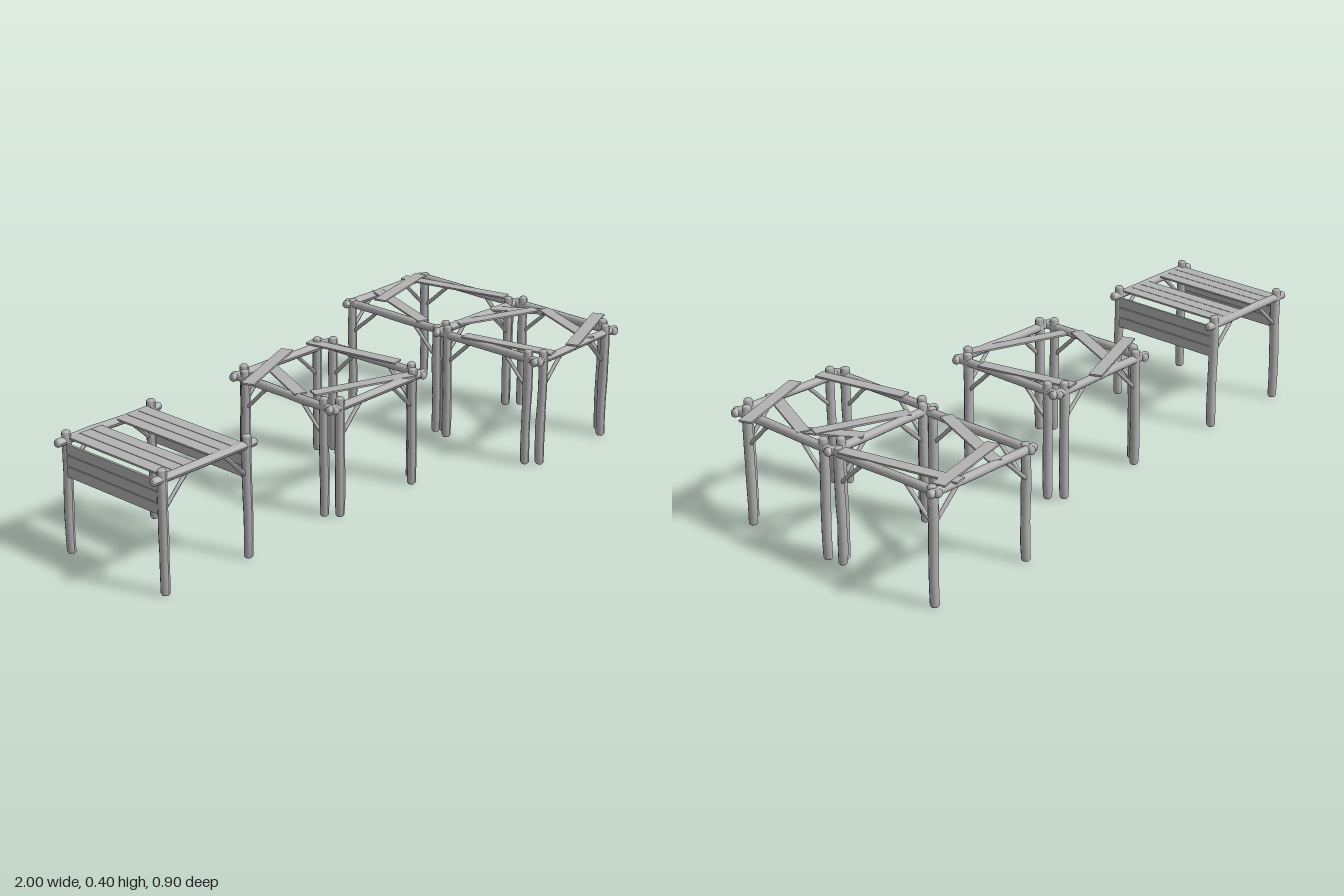
import * as THREE from 'three';

const wood = new THREE.MeshStandardMaterial({ color: 0xb2b2b2 });
wood.name = 'weathered wood';

export function createModel() {
  const model = new THREE.Group();
  model.name = 'timberFrames';

  // small seeded generator for hand-hewn irregularity
  let seed = 7;
  const rand = () => (seed = (seed * 16807) % 2147483647) / 2147483647;
  const up = new THREE.Vector3(0, 1, 0);

  // round log with softened ends and a slight bow between two points
  function log(parent, name, a, b, r) {
    const from = new THREE.Vector3(...a), to = new THREE.Vector3(...b);
    const dir = to.clone().sub(from), len = dir.length();
    const profile = [[0, 0], [r * 0.7, 0], [r * 0.95, r * 0.35]];
    for (let i = 1; i < 6; i++) profile.push([r * (0.94 + rand() * 0.12), (len * i) / 6]);
    profile.push([r * 0.95, len - r * 0.35], [r * 0.7, len], [0, len]);
    const geo = new THREE.LatheGeometry(profile.map(p => new THREE.Vector2(...p)), 10);
    const bow = r * 0.12, phase = rand() * 6.28;
    const pos = geo.attributes.position;
    for (let i = 0; i < pos.count; i++) {
      const s = Math.sin((pos.getY(i) / len) * Math.PI * 2) * bow;
      pos.setX(i, pos.getX(i) + s * Math.cos(phase));
      pos.setZ(i, pos.getZ(i) + s * Math.sin(phase));
    }
    geo.computeVertexNormals();
    const mesh = new THREE.Mesh(geo, wood);
    mesh.name = name;
    mesh.position.copy(from);
    mesh.quaternion.setFromUnitVectors(up, dir.normalize());
    parent.add(mesh);
  }

  // loose flat board between two plan points [x, z]
  function board(parent, name, [x1, z1], [x2, z2], y, tilt = 0, width = 0.042) {
    const len = Math.hypot(x2 - x1, z2 - z1);
    const mesh = new THREE.Mesh(new THREE.BoxGeometry(len, 0.006, width), wood);
    mesh.name = name;
    mesh.position.set((x1 + x2) / 2, y, (z1 + z2) / 2);
    mesh.rotation.set(0, -Math.atan2(z2 - z1, x2 - x1), tilt);
    parent.add(mesh);
  }

  const LEG = 0.0155, BEAM = 0.0145, BRACE = 0.0065, BEAM_Y = 0.374;
  const leg = (g, x, z, top = 0.405) => log(g, 'leg', [x, 0.003, z], [x, top, z], LEG);

  // knee brace from a leg up to its beam, leaning along x or z
  function brace(g, x, z, dx, dz) {
    log(g, 'kneeBrace', [x, 0.275, z], [x + dx, 0.368, z + dz], BRACE);
  }

  function frame(name) {
    const g = new THREE.Group();
    g.name = name;
    model.add(g);
    return g;
  }

  // square frame with a pair of legs at every corner
  function pairedFrame(name, x0, x1, z0, z1) {
    const g = frame(name);
    for (const z of [z0, z1]) {
      log(g, 'crossBeam', [x0 - 0.025, BEAM_Y, z], [x1 + 0.025, BEAM_Y, z], BEAM);
      leg(g, x0 + 0.032, z);
      leg(g, x1 - 0.037, z);
      brace(g, x0 + 0.035, z, 0.095, 0);
      brace(g, x1 - 0.04, z, -0.095, 0);
    }
    for (const x of [x0, x1]) {
      log(g, 'sideBeam', [x, BEAM_Y, z0 - 0.02], [x, BEAM_Y, z1 + 0.02], BEAM);
      leg(g, x, z0 + 0.037);
      leg(g, x, z1 - 0.037);
      brace(g, x, z0 + 0.04, 0, 0.095);
      brace(g, x, z1 - 0.04, 0, -0.095);
    }
    return g;
  }

  // covered stall: four legs, slatted roof and two boarded sides
  const stall = frame('boardedStall');
  for (const z of [-0.215, 0.203]) {
    log(stall, 'crossBeam', [-1, BEAM_Y, z], [-0.58, BEAM_Y, z], BEAM);
    leg(stall, -0.96, z);
    leg(stall, -0.616, z);
    brace(stall, -0.955, z, 0.095, 0);
    brace(stall, -0.62, z, -0.095, 0);
  }
  for (const start of [-0.96, -0.764])
    for (let i = 0; i < 3; i++) {
      const x = start + 0.0225 + i * 0.0445;
      board(stall, 'roofBoard', [x, -0.215], [x, 0.203], 0.383, 0, 0.0425);
    }
  for (const x of [-0.966, -0.609])
    for (let i = 0; i < 3; i++) {
      const plank = new THREE.Mesh(new THREE.BoxGeometry(0.008, 0.034, 0.418), wood);
      plank.name = 'sideBoard';
      plank.position.set(x, 0.278 + i * 0.0365, -0.006);
      stall.add(plank);
    }

  // free-standing open frame
  const middle = pairedFrame('openFrame', -0.24, 0.172, -0.217, 0.203);
  board(middle, 'looseBoard', [-0.3, -0.11], [0.01, -0.235], 0.391);
  board(middle, 'looseBoard', [-0.11, -0.21], [-0.235, 0.06], 0.386);
  board(middle, 'looseBoard', [-0.205, 0.085], [0.13, 0.205], 0.386);
  board(middle, 'looseBoard', [0.115, -0.235], [0.18, 0.1], 0.389, -0.01);

  // front half of the double frame
  const front = pairedFrame('frontFrame', 0.517, 0.924, -0.009, 0.408);
  board(front, 'looseBoard', [0.6, 0.0], [0.89, 0.11], 0.386);
  board(front, 'looseBoard', [0.8, -0.015], [0.91, 0.16], 0.383);
  board(front, 'looseBoard', [0.91, 0.13], [0.785, 0.415], 0.386);
  board(front, 'looseBoard', [0.68, 0.425], [0.988, 0.305], 0.391);
  board(front, 'looseBoard', [0.517, 0.1], [0.585, 0.42], 0.388);

  // rear half, sharing the middle of the double frame
  const rear = frame('rearFrame');
  log(rear, 'crossBeam', [0.5, BEAM_Y, -0.43], [0.945, BEAM_Y, -0.43], BEAM);
  for (const [x, s] of [[0.53, 1], [0.917, -1]]) {
    log(rear, 'sideBeam', [x, BEAM_Y, -0.45], [x + 0.004, BEAM_Y, -0.01], BEAM);
    leg(rear, x, -0.418, 0.392);
    leg(rear, x, -0.03, 0.39);
    brace(rear, x, -0.425, s * 0.1, 0);
    brace(rear, x, -0.41, 0, 0.105);
    brace(rear, x, -0.035, 0, -0.1);
  }
  board(rear, 'looseBoard', [0.59, -0.345], [0.9, -0.425], 0.388);
  board(rear, 'looseBoard', [0.67, -0.43], [0.54, -0.1], 0.385);
  board(rear, 'looseBoard', [0.835, -0.45], [0.925, -0.05], 0.387);

  return model;
}
